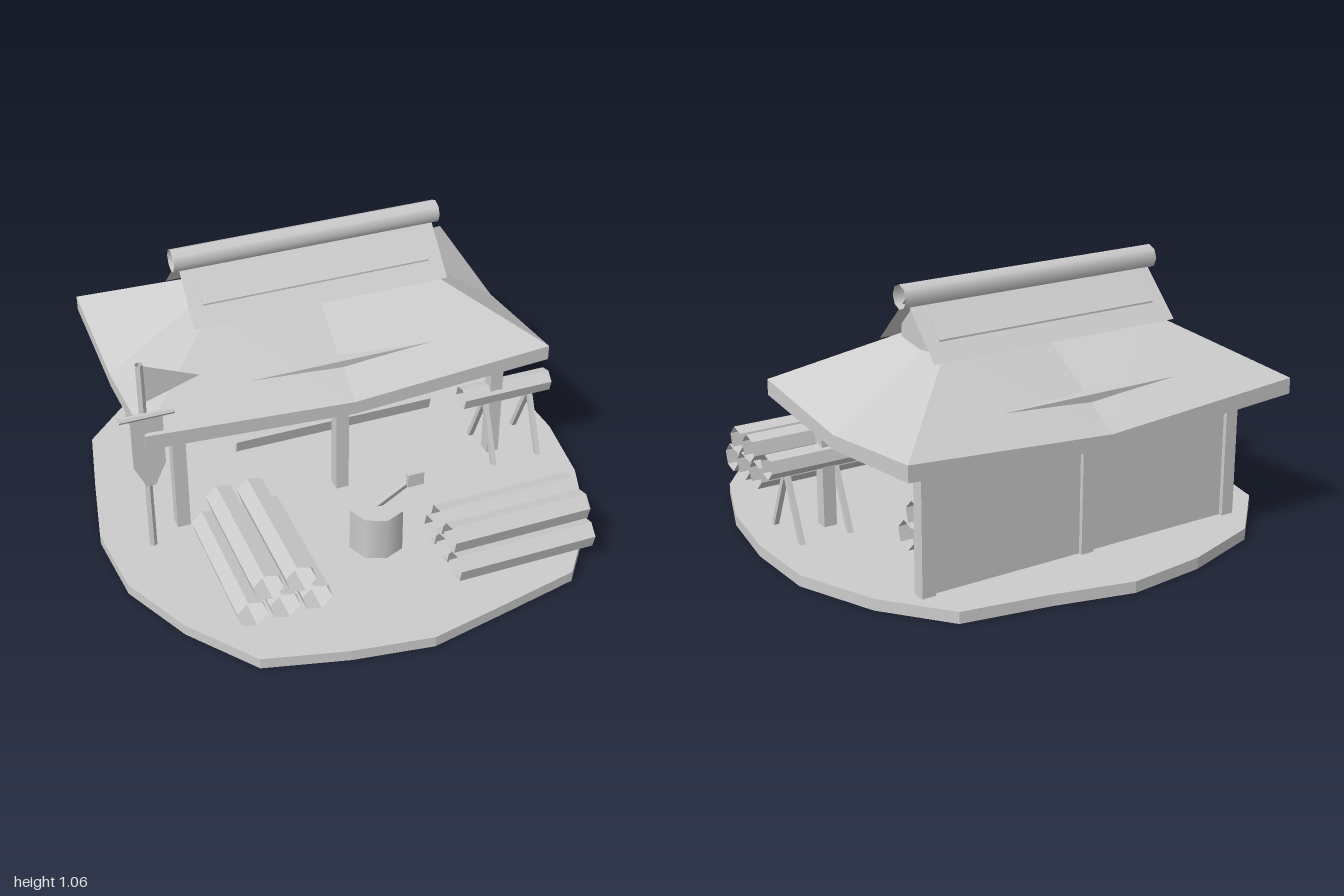
import * as THREE from 'three';

export function createModel() {
  const g = new THREE.Group();
  g.position.x = 0.004;
  const grey = new THREE.MeshStandardMaterial({ color: 0xcccccc });
  grey.name = 'plainGrey';
  const greySheet = new THREE.MeshStandardMaterial({ color: 0xcccccc, side: THREE.DoubleSide });
  greySheet.name = 'plainGreySheet';

  const add = (name, geo, mat = grey, parent = g) => {
    const m = new THREE.Mesh(geo, mat);
    m.name = name;
    parent.add(m);
    return m;
  };
  const flat = (geo) => {
    const f = geo.toNonIndexed();
    f.computeVertexNormals();
    return f;
  };
  const box = (name, w, h, d, x, y, z) => {
    const m = add(name, new THREE.BoxGeometry(w, h, d));
    m.position.set(x, y, z);
    return m;
  };
  // thin square bar between two points
  const bar = (name, a, b, t) => {
    const p = new THREE.Vector3(...a), q = new THREE.Vector3(...b);
    const m = add(name, new THREE.BoxGeometry(t, p.distanceTo(q), t));
    m.position.copy(p).lerp(q, 0.5);
    m.quaternion.setFromUnitVectors(new THREE.Vector3(0, 1, 0), q.sub(p).normalize());
    return m;
  };
  const triangles = (name, v, mat) => {
    const geo = new THREE.BufferGeometry();
    geo.setAttribute('position', new THREE.Float32BufferAttribute(v, 3));
    geo.computeVertexNormals();
    return add(name, geo, mat);
  };
  // flat sheet through its corners in order
  const sheet = (name, pts) => {
    const v = [];
    for (let i = 1; i < pts.length - 1; i++) v.push(...pts[0], ...pts[i], ...pts[i + 1]);
    return triangles(name, v, greySheet);
  };
  // open six-sided log lying along x or z, rolled a little
  const log = (name, r, len, axis, x, y, z, parent = g) => {
    const geo = new THREE.CylinderGeometry(r, r, len, 6, 1, true).rotateY(Math.PI / 12);
    if (axis === 'x') geo.rotateZ(Math.PI / 2);
    else geo.rotateX(Math.PI / 2);
    add(name, flat(geo), greySheet, parent).position.set(x, y, z);
  };

  // ground slab with an uneven rim
  const rim = [[0, -1], [-0.31, -0.965], [-0.63, -0.86], [-0.865, -0.62], [-0.93, -0.31], [-0.99, 0],
    [-0.965, 0.32], [-0.83, 0.61], [-0.63, 0.875], [-0.31, 0.955], [0, 1], [0.31, 0.935], [0.63, 0.865],
    [0.83, 0.61], [0.94, 0.31], [0.985, 0], [0.975, -0.31], [0.845, -0.62], [0.65, -0.865], [0.31, -0.925]];
  const ground = new THREE.Shape(rim.map(([x, z]) => new THREE.Vector2(x, -z)));
  add('ground', new THREE.ExtrudeGeometry(ground, { depth: 0.045, bevelEnabled: false }).rotateX(-Math.PI / 2));

  // posts and back wall
  for (const x of [-0.665, 0.005, 0.68])
    for (const z of [0.04, -0.69]) box('post', 0.053, 0.53, 0.053, x, 0.305, z);
  box('backWall', 1.345, 0.51, 0.02, 0.008, 0.3, -0.69);

  // hipped roof skirt from rings of corners and edge middles, sagging towards the middles
  const cx = 0.006, cz = -0.33;
  const ring = (hx, hz, yCorner, ySide, yFront) =>
    [[1, 1], [1, 0], [1, -1], [0, -1], [-1, -1], [-1, 0], [-1, 1], [0, 1]].map(([sx, sz]) =>
      [cx + sx * hx, sx && sz ? yCorner : sx ? ySide : yFront, cz + sz * hz]);
  const rings = [ring(0.828, 0.523, 0.55, 0.498, 0.498), ring(0.828, 0.523, 0.612, 0.553, 0.553),
    ring(0.445, 0.133, 0.838, 0.822, 0.8)];
  const v = [];
  for (let i = 0; i < 8; i++) {
    const j = (i + 1) % 8;
    for (let r = 0; r < 2; r++) {
      const [a, b, c, d] = [rings[r][i], rings[r][j], rings[r + 1][j], rings[r + 1][i]];
      if (i % 2) v.push(...a, ...b, ...c, ...a, ...c, ...d);
      else v.push(...a, ...b, ...d, ...b, ...c, ...d);
    }
    v.push(cx, 0.472, cz, ...rings[0][j], ...rings[0][i]);
  }
  triangles('roofSkirt', v);

  // lower core, showing where the skirt sags below it
  box('roofCore', 1.1, 0.08, 0.79, cx, 0.623, cz);

  // gable core, its shoulders just breaking through the upper roof
  const gable = new THREE.Shape([[-0.133, 0.78], [0.133, 0.78], [0.133, 0.874], [0, 0.997], [-0.133, 0.874]]
    .map(([x, y]) => new THREE.Vector2(x, y)));
  add('gable', new THREE.ExtrudeGeometry(gable, { depth: 0.94, bevelEnabled: false }).rotateY(Math.PI / 2))
    .position.set(cx - 0.47, 0, cz);

  // upper roof sheets and ridge
  for (const s of [1, -1])
    sheet('upperRoof', [[-0.522, 0.808, cz + s * 0.192], [0.533, 0.808, cz + s * 0.192],
      [0.533, 1, cz], [-0.522, 1, cz]]);
  add('ridgeLog', new THREE.CylinderGeometry(0.046, 0.046, 1.105, 8, 1, true).rotateZ(Math.PI / 2), greySheet)
    .position.set(cx, 1.01, cz);

  // stacked log piles
  const pile = (name, axis, rows, r, len, x, z, step, rise) => {
    const p = new THREE.Group();
    p.name = name;
    g.add(p);
    rows.forEach((n, row) => {
      for (let i = 0; i < n; i++) {
        const o = (i - (n - 1) / 2) * step;
        log('log', r, len, axis, x + (axis === 'z' ? o : 0), 0.105 + row * rise, z + (axis === 'x' ? o : 0), p);
      }
    });
  };
  pile('leftPile', 'z', [3, 2], 0.061, 0.56, -0.472, 0.427, 0.126, 0.109);
  pile('frontPile', 'x', [3, 2], 0.058, 0.565, 0.48, 0.62, 0.115, 0.094);
  pile('shelteredPile', 'x', [3, 2, 1], 0.058, 0.88, 0.11, -0.45, 0.115, 0.096);

  // chopping stump and axe
  add('stump', new THREE.CylinderGeometry(0.11, 0.11, 0.185, 8)).position.set(0.003, 0.137, 0.425);
  bar('axeHandle', [0.003, 0.22, 0.425], [0.115, 0.4, 0.522], 0.02);
  box('axeHead', 0.065, 0.055, 0.018, 0.116, 0.393, 0.524);

  // sawing trestle with a log on it, its feet sunk through the ground
  for (const x of [0.645, 0.847])
    for (const s of [1, -1]) bar('trestleLeg', [x, -0.001, 0.036 + s * 0.133], [x, 0.3, 0.036], 0.02);
  log('trestleLog', 0.048, 0.39, 'x', 0.733, 0.33, 0.032);

  // flag pole with pennant, crossbar and hanging banner
  add('flagPole', flat(new THREE.CylinderGeometry(0.015, 0.015, 0.84, 6, 1, true)), greySheet)
    .position.set(-0.808, 0.465, 0.126);
  sheet('pennant', [[-0.797, 0.875, 0.126], [-0.797, 0.715, 0.126], [-0.585, 0.785, 0.126]]);
  add('crossbar', flat(new THREE.CylinderGeometry(0.012, 0.012, 0.21, 6, 1, true).rotateZ(Math.PI / 2)), greySheet)
    .position.set(-0.808, 0.695, 0.182);
  sheet('banner', [[-0.872, 0.69, 0.182], [-0.872, 0.47, 0.182], [-0.828, 0.375, 0.182],
    [-0.792, 0.375, 0.182], [-0.748, 0.47, 0.182], [-0.748, 0.69, 0.182]]);
  return g;
}
